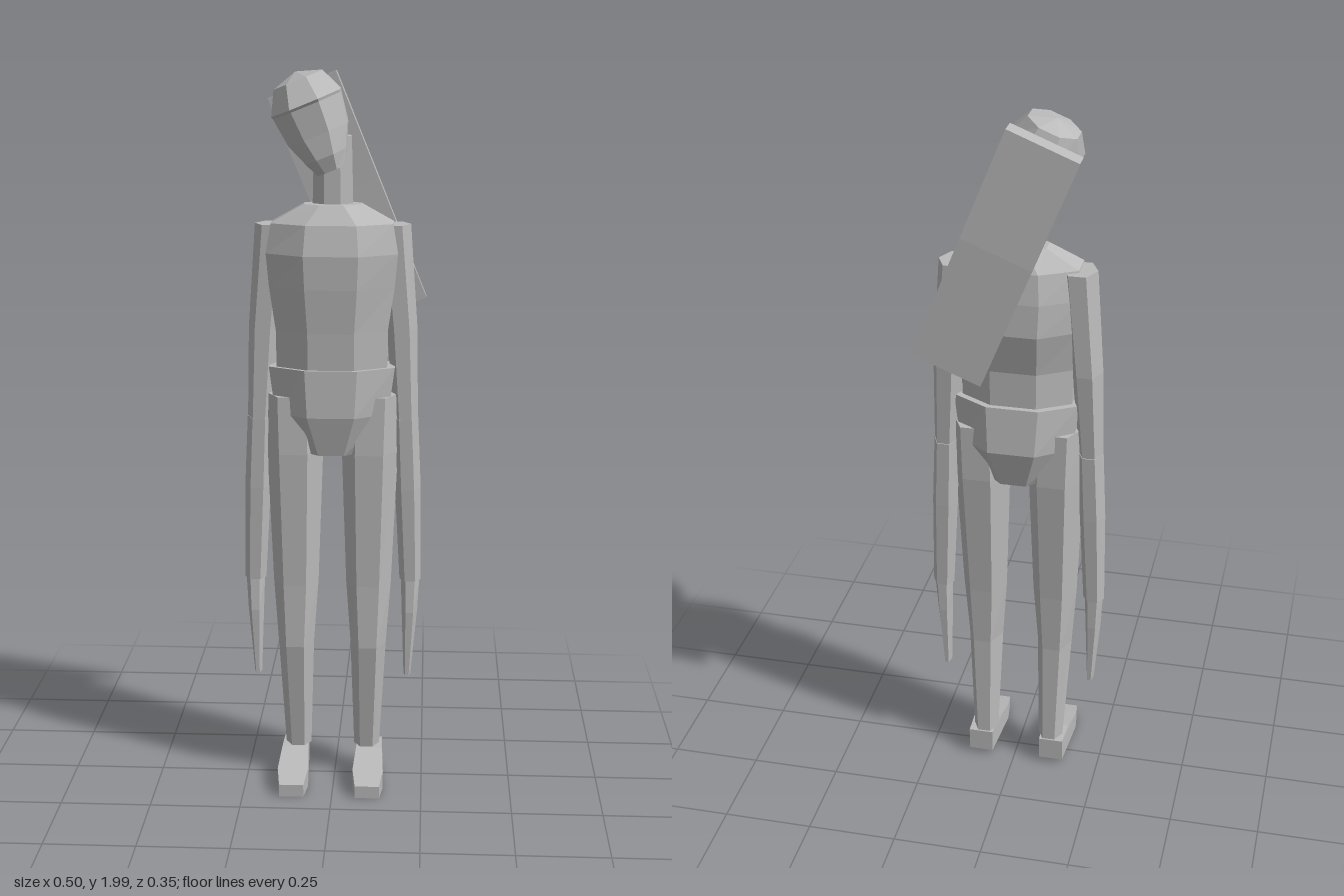
import * as THREE from 'three';
import { ConvexGeometry } from 'three/addons/geometries/ConvexGeometry.js';

const clay = new THREE.MeshStandardMaterial({ color: 0xbababa, flatShading: true });
clay.name = 'plain grey';

// Faceted solid through rings listed bottom to top: [y, centreX, halfWidth, frontZ, backZ]
function loft(rings, sides) {
  const angles = Array.from({ length: sides }, (_, i) => Math.PI / 2 + ((i + 0.5) * 2 * Math.PI) / sides);
  const mx = Math.max(...angles.map(a => Math.cos(a)));
  const mz = Math.max(...angles.map(a => Math.sin(a)));
  const loops = rings.map(([y, cx, rx, zf, zb]) => angles.map(a => [
    cx + (rx * Math.cos(a)) / mx, y, (zf + zb) / 2 + (((zf - zb) / 2) * Math.sin(a)) / mz]));
  const pos = [];
  const tri = (a, b, c) => pos.push(...a, ...b, ...c);
  const middle = ([y, cx, , zf, zb]) => [cx, y, (zf + zb) / 2];
  const last = rings.length - 1;
  for (let i = 0; i < sides; i++) {
    const j = (i + 1) % sides;
    for (let k = 0; k < last; k++) {
      const b = loops[k], t = loops[k + 1];
      tri(b[i], t[i], b[j]);
      tri(t[i], t[j], b[j]);
    }
    tri(middle(rings[0]), loops[0][i], loops[0][j]);
    tri(middle(rings[last]), loops[last][j], loops[last][i]);
  }
  const g = new THREE.BufferGeometry();
  g.setAttribute('position', new THREE.Float32BufferAttribute(pos, 3));
  g.computeVertexNormals();
  return g;
}

function part(parent, name, geometry) {
  const mesh = new THREE.Mesh(geometry, clay);
  mesh.name = name;
  parent.add(mesh);
  return mesh;
}

function footGeometry(cx) {
  // [z, half width, bottom, top]
  const sections = [[-0.07, 0.035, 0.015, 0.082], [0.01, 0.037, 0.011, 0.082],
    [0.11, 0.043, 0.003, 0.056], [0.175, 0.034, 0, 0.035]];
  const pts = [];
  for (const [z, w, lo, hi] of sections)
    for (const x of [-w, w]) for (const y of [lo, hi]) pts.push(new THREE.Vector3(cx + x, y, z));
  return new ConvexGeometry(pts);
}

export function createModel() {
  const model = new THREE.Group();
  model.name = 'figure';
  const body = new THREE.Group();
  body.name = 'body';
  body.position.x = -0.007;
  model.add(body);

  // Trunk
  part(body, 'hips', loft([
    [0.96, 0, 0.085, 0.065, -0.1], [1.07, 0, 0.155, 0.09, -0.13], [1.2, 0, 0.172, 0.085, -0.115]], 8));
  part(body, 'chest', loft([
    [1.15, 0, 0.15, 0.075, -0.1], [1.3, 0, 0.152, 0.08, -0.1], [1.42, 0, 0.17, 0.088, -0.13],
    [1.51, 0, 0.178, 0.09, -0.125], [1.59, 0, 0.165, 0.07, -0.11], [1.64, 0, 0.077, 0.03, -0.08]], 8));
  part(body, 'neck', loft([[1.6, 0, 0.055, 0, -0.085], [1.82, 0, 0.05, 0, -0.085]], 8));

  // Limbs, mirrored
  for (const [side, s] of [['left', 1], ['right', -1]]) {
    part(body, side + 'UpperArm', loft([
      [1.05, s * 0.202, 0.034, 0.01, -0.07], [1.3, s * 0.19, 0.042, 0.012, -0.09],
      [1.585, s * 0.165, 0.047, 0.015, -0.085]], 6));
    part(body, side + 'Forearm', loft([
      [0.58, s * 0.219, 0.03, -0.005, -0.057], [0.85, s * 0.21, 0.036, 0.008, -0.068],
      [1.05, s * 0.202, 0.035, 0.012, -0.073]], 6));
    part(body, side + 'Hand', loft([
      [0.3, s * 0.213, 0.01, 0, -0.045], [0.49, s * 0.218, 0.022, 0.004, -0.055],
      [0.58, s * 0.219, 0.026, -0.005, -0.055]], 6));
    part(body, side + 'Leg', loft([
      [0.08, s * 0.098, 0.036, 0.005, -0.065], [0.4, s * 0.102, 0.05, 0.055, -0.058],
      [0.58, s * 0.102, 0.063, 0.052, -0.066], [0.96, s * 0.104, 0.078, 0.062, -0.095],
      [1.12, s * 0.108, 0.078, 0.055, -0.095]], 6));
    part(body, side + 'Foot', footGeometry(s * 0.106));
  }

  // Head, tilted to the right side
  const tilt = THREE.MathUtils.degToRad(22);
  const head = part(model, 'head', loft([
    [0, 0, 0.04, 0.08, 0], [0.04, 0, 0.058, 0.093, -0.04], [0.1, 0, 0.084, 0.093, -0.092],
    [0.18, 0, 0.095, 0.097, -0.118], [0.187, 0, 0.097, 0.102, -0.12], [0.25, 0, 0.068, 0.042, -0.1],
    [0.272, 0, 0.001, -0.045, -0.046]], 8));
  head.position.set(-0.006, 1.735, 0);
  head.rotation.z = tilt;

  // Long flat hair slab behind the head
  const hair = part(model, 'hair', loft([
    [-0.67, 0, 0.1, -0.145, -0.176], [-0.31, 0, 0.1, -0.126, -0.171], [0, 0, 0.1, -0.105, -0.155]], 4));
  hair.position.set(-0.095, 1.95, 0);
  hair.rotation.z = tilt;
  return model;
}
